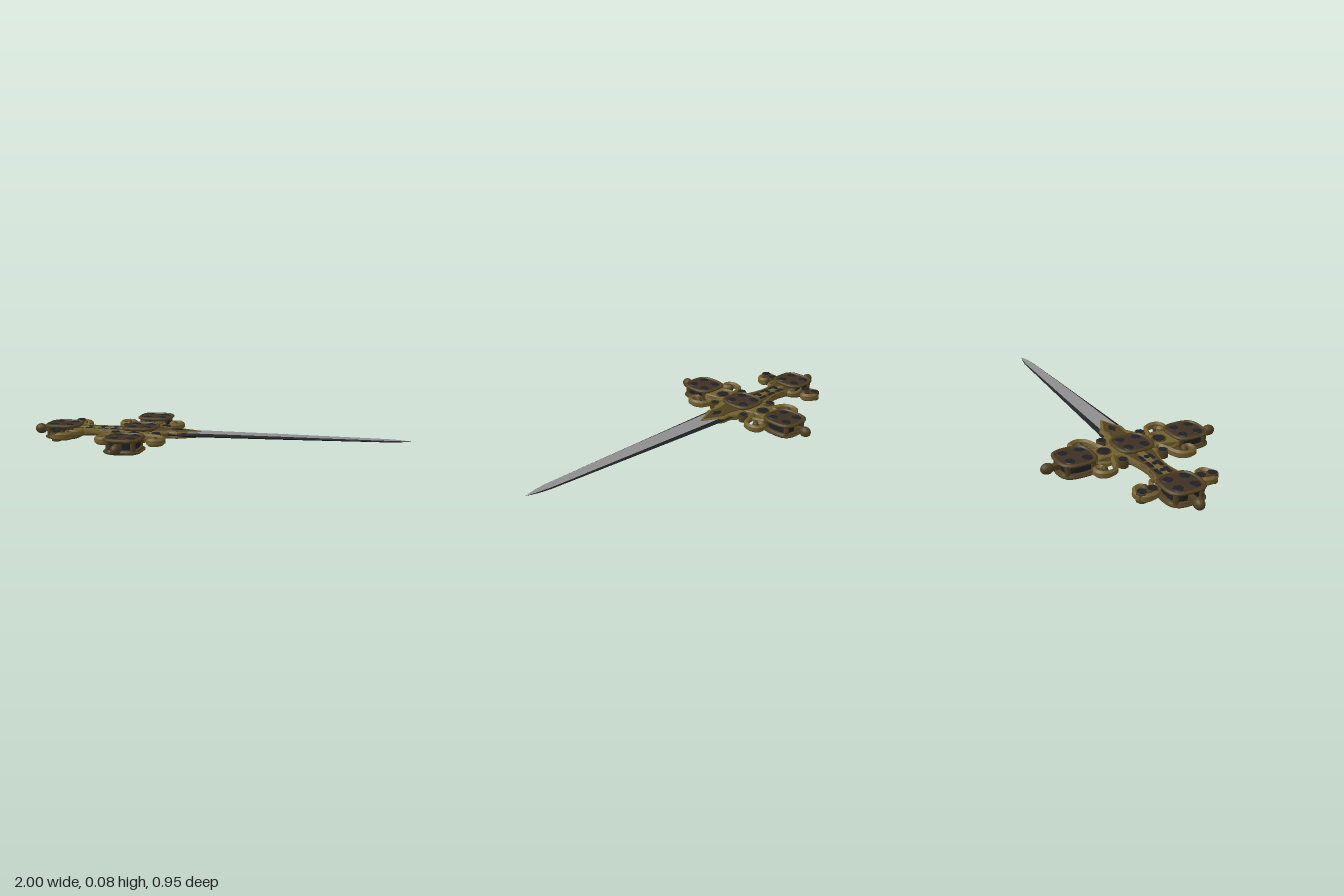
import * as THREE from 'three';
import { toCreasedNormals } from 'three/addons/utils/BufferGeometryUtils.js';

const MID = 0.039; // height of the middle plane of the dagger

const mat = (name, color) => {
  const m = new THREE.MeshStandardMaterial({ color });
  m.name = name;
  return m;
};

export function createModel() {
  const root = new THREE.Group();
  root.name = 'dagger';
  const gold = mat('antique gold', 0x715f2c);
  const bronze = mat('dark bronze', 0x4e4020);
  const brown = mat('brown enamel', 0x3e3023);
  const dark = mat('dark stone', 0x1f2124);
  const steel = mat('steel', 0x8e8e8e);
  const black = mat('blackened edge', 0x1e2122);

  const add = (name, geo, material, parent = root) => {
    const mesh = new THREE.Mesh(geo, material);
    mesh.name = name;
    parent.add(mesh);
    return mesh;
  };

  // Flat plate centred on the middle plane: outline given as [x, z], half mirrored in z
  const plate = (half, h, bevel = 0.005) => {
    const pts = [...half, ...half.slice().reverse().map(([x, z]) => [x, -z])];
    const shape = new THREE.Shape(pts.map(([x, z]) => new THREE.Vector2(x, z)));
    const g = new THREE.ExtrudeGeometry(shape, {
      depth: 2 * h - 2 * bevel, bevelEnabled: bevel > 0, bevelSize: bevel,
      bevelThickness: bevel, bevelOffset: -bevel, bevelSegments: 1,
    });
    return g.translate(0, 0, bevel - h).rotateX(-Math.PI / 2).translate(0, MID, 0);
  };

  // Lathe with a rounded-square plan
  const squareLathe = (profile, n = 3.2) => {
    const g = new THREE.LatheGeometry(profile.map(([r, y]) => new THREE.Vector2(r, y)), 32);
    const p = g.attributes.position;
    for (let i = 0; i < p.count; i++) {
      const a = Math.atan2(p.getZ(i), p.getX(i));
      const k = (Math.abs(Math.cos(a)) ** n + Math.abs(Math.sin(a)) ** n) ** (-1 / n);
      p.setXYZ(i, p.getX(i) * k, p.getY(i), p.getZ(i) * k);
    }
    return toCreasedNormals(g, 0.5);
  };

  // Curled strap following [x, z] points, mirrored about x = cx and z = 0
  const scroll = (name, pts, r, sx, sz, cx) => {
    const path = new THREE.CatmullRomCurve3(
      pts.map(([x, z]) => new THREE.Vector3(cx + sx * (x - cx), 0, sz * z)));
    const g = new THREE.TubeGeometry(path, 30, r, 6).scale(1, 1.5, 1).translate(0, MID, 0);
    add(name, toCreasedNormals(g, 0.7), gold);
    const e = path.getPoint(1);
    add(name + 'Knob', new THREE.SphereGeometry(r * 1.3, 10, 8).scale(1, 1.3, 1)
      .translate(e.x, MID, e.z), bronze);
  };

  // Stone set in a collar, showing above and below
  const stone = (name, x, z, r, h, sides = 8) => {
    add(name + 'Collar', toCreasedNormals(
      new THREE.CylinderGeometry(r * 1.25, r * 1.25, 2 * h, sides).translate(x, MID, z), 0.9), bronze);
    add(name, toCreasedNormals(
      new THREE.CylinderGeometry(r, r, 2 * h + 0.006, sides).translate(x, MID, z), 0.9), dark);
  };

  // Blade: six-sided sections [x, half width, half flat, half thickness]
  const sections = [[-0.32, 0.077, 0.05, 0.01], [-0.2, 0.073, 0.049, 0.01], [0.3, 0.052, 0.038, 0.008],
    [0.88, 0.027, 0.0225, 0.004], [0.94, 0.0155, 0.0145, 0.003], [1, 0, 0, 0]];
  const ring = ([x, w, f, t]) => [[x, t, -f], [x, t, f], [x, 0, w], [x, -t, f], [x, -t, -f], [x, 0, -w]];
  const bladeSide = (faces) => {
    const v = [];
    for (let i = 0; i < sections.length - 1; i++) {
      const a = ring(sections[i]), b = ring(sections[i + 1]);
      for (const k of faces) {
        const n = (k + 1) % 6;
        v.push(...a[k], ...a[n], ...b[k], ...b[k], ...a[n], ...b[n]);
      }
    }
    const g = new THREE.BufferGeometry();
    g.setAttribute('position', new THREE.Float32BufferAttribute(v, 3));
    g.computeVertexNormals();
    return g.translate(0, MID + 0.002, 0);
  };
  add('bladeFlats', bladeSide([0, 3]), steel);
  add('bladeEdges', bladeSide([1, 2, 4, 5]), black);

  // Four medallions: core, two flanged rims, domed faces with inlays
  const medallion = (name, x, z, sx, sz) => {
    const g = new THREE.Group();
    g.name = name;
    g.position.set(x, MID, z);
    g.scale.set(sx, 1, sz);
    root.add(g);
    add('core', squareLathe([[0.076, -0.022], [0.076, 0.022]]), dark, g);
    for (const s of [1, -1]) {
      const half = new THREE.Group();
      half.name = s > 0 ? 'upperHalf' : 'lowerHalf';
      half.rotation.x = s > 0 ? 0 : Math.PI;
      g.add(half);
      add('rim', squareLathe([[0.074, 0.016], [0.088, 0.018], [0.092, 0.025], [0.1, 0.027],
        [0.1, 0.032], [0.092, 0.038], [0.087, 0.038], [0.082, 0.031]]), bronze, half);
      add('face', squareLathe([[0.084, 0.031], [0.06, 0.035], [0.03, 0.037], [0, 0.037]]), brown, half);
      for (const ix of [-1, 1]) for (const iz of [-1, 1]) {
        add('inlay', new THREE.CylinderGeometry(0.025, 0.029, 0.005, 6)
          .rotateY(ix * iz * Math.PI / 4).translate(ix * 0.042, 0.0345, iz * 0.042), dark, half);
      }
    }
    // Posts on the waist
    for (let i = 0; i < 4; i++) {
      const a = Math.PI / 4 + i * Math.PI / 2;
      add('post', new THREE.CylinderGeometry(0.014, 0.014, 0.05, 8)
        .translate(Math.cos(a) * 0.092, 0, Math.sin(a) * 0.092), bronze, g);
    }
  };
  medallion('centreMedallion', -0.4, 0, 0.95, 1);
  medallion('pommelMedallion', -0.83, 0, 0.95, 1);
  for (const s of [1, -1]) medallion('guardMedallion', -0.4, s * 0.305, 0.97, 1);

  // Ball finials on short necks
  const finial = (x, z, dx, dz) => {
    add('finialBall', new THREE.SphereGeometry(0.03, 14, 10)
      .scale(dx ? 1.1 : 0.85, 0.92, dz ? 1.1 : 0.85).translate(x, MID, z), bronze);
    add('finialNeck', new THREE.BoxGeometry(dx ? 0.06 : 0.024, 0.026, dz ? 0.06 : 0.024)
      .translate(x - dx * 0.035, MID, z - dz * 0.035), bronze);
  };
  finial(-0.967, 0, -1, 0);
  for (const s of [1, -1]) finial(-0.4, s * 0.444, 0, s);

  // Grip with rails, dark panels and a pinned centre ridge
  const gripEdge = [[-0.77, 0.075], [-0.71, 0.064], [-0.64, 0.054], [-0.57, 0.06], [-0.52, 0.072], [-0.46, 0.08]];
  add('grip', plate(gripEdge, 0.017), bronze);
  for (const [a, b] of [[-0.705, -0.655], [-0.635, -0.585], [-0.565, -0.515]]) {
    add('gripPanel', plate([[a, 0.036], [b, 0.036]], 0.0185, 0), dark);
  }
  add('gripRidge', plate([[-0.74, 0.016], [-0.48, 0.02]], 0.021), gold);
  for (const s of [1, -1]) {
    const rail = new THREE.CatmullRomCurve3(gripEdge.map(([x, z]) => new THREE.Vector3(x, 0, s * (z - 0.007))));
    add('gripRail', new THREE.TubeGeometry(rail, 20, 0.01, 6).scale(1, 2, 1).translate(0, MID, 0), gold);
  }
  for (let i = 0; i < 3; i++) stone('gripStone', -0.68 + i * 0.07, 0, 0.013, 0.021);

  // Guard arms, flared at both ends, each with a large stone
  for (const s of [1, -1]) {
    const arm = plate([[0.07, 0.072], [0.12, 0.054], [0.16, 0.05], [0.24, 0.07]], 0.019);
    add('guardArm', arm.rotateY(-s * Math.PI / 2).translate(-0.4, 0, 0), gold);
    stone('guardStone', -0.4, s * 0.152, 0.031, 0.022, 10);
  }

  // Pointed collar gripping the blade
  add('bladeCollar', plate([[-0.35, 0.09], [-0.27, 0.085], [-0.235, 0.062], [-0.19, 0.066], [-0.14, 0.034], [-0.075, 0.001]],
    0.017), gold);
  add('collarRidge', plate([[-0.34, 0.06], [-0.25, 0.042], [-0.2, 0.048], [-0.15, 0.024], [-0.1, 0.001]], 0.021), bronze);
  add('collarDiamond', plate([[-0.235, 0.001], [-0.2, 0.02], [-0.165, 0.001]], 0.0235, 0), dark);

  // Scrolls and small stones in the four corners of the guard
  const guardCurl = [[-0.435, 0.115], [-0.475, 0.14], [-0.515, 0.152], [-0.555, 0.172], [-0.572, 0.21],
    [-0.563, 0.248], [-0.535, 0.263], [-0.507, 0.25], [-0.51, 0.224], [-0.53, 0.216]];
  const innerCurl = [[-0.475, 0.14], [-0.487, 0.165], [-0.48, 0.19], [-0.465, 0.225]];
  for (const sx of [1, -1]) for (const sz of [1, -1]) {
    scroll('guardScroll', guardCurl, 0.0135, sx, sz, -0.4);
    scroll('guardBrace', innerCurl, 0.009, sx, sz, -0.4);
    stone('cornerStone', -0.4 + sx * 0.108, sz * 0.108, 0.021, 0.019);
    add('cornerStem', new THREE.BoxGeometry(0.05, 0.03, 0.016).rotateY(-sx * sz * Math.PI / 4)
      .translate(-0.4 + sx * 0.085, MID, sz * 0.085), gold);
  }

  // Hooked scrolls beside the pommel
  const pommelCurl = [[-0.79, 0.09], [-0.825, 0.13], [-0.828, 0.175], [-0.805, 0.198], [-0.77, 0.196],
    [-0.742, 0.172], [-0.744, 0.145], [-0.762, 0.142]];
  for (const sz of [1, -1]) {
    scroll('pommelScroll', pommelCurl, 0.0145, 1, sz, 0);
    scroll('pommelBrace', [[-0.79, 0.09], [-0.75, 0.1], [-0.72, 0.085], [-0.71, 0.055]], 0.011, 1, sz, 0);
    stone('pommelStone', -0.797, sz * 0.125, 0.023, 0.021);
    stone('pommelTipStone', -0.805, sz * 0.182, 0.022, 0.023);
  }

  return root;
}
